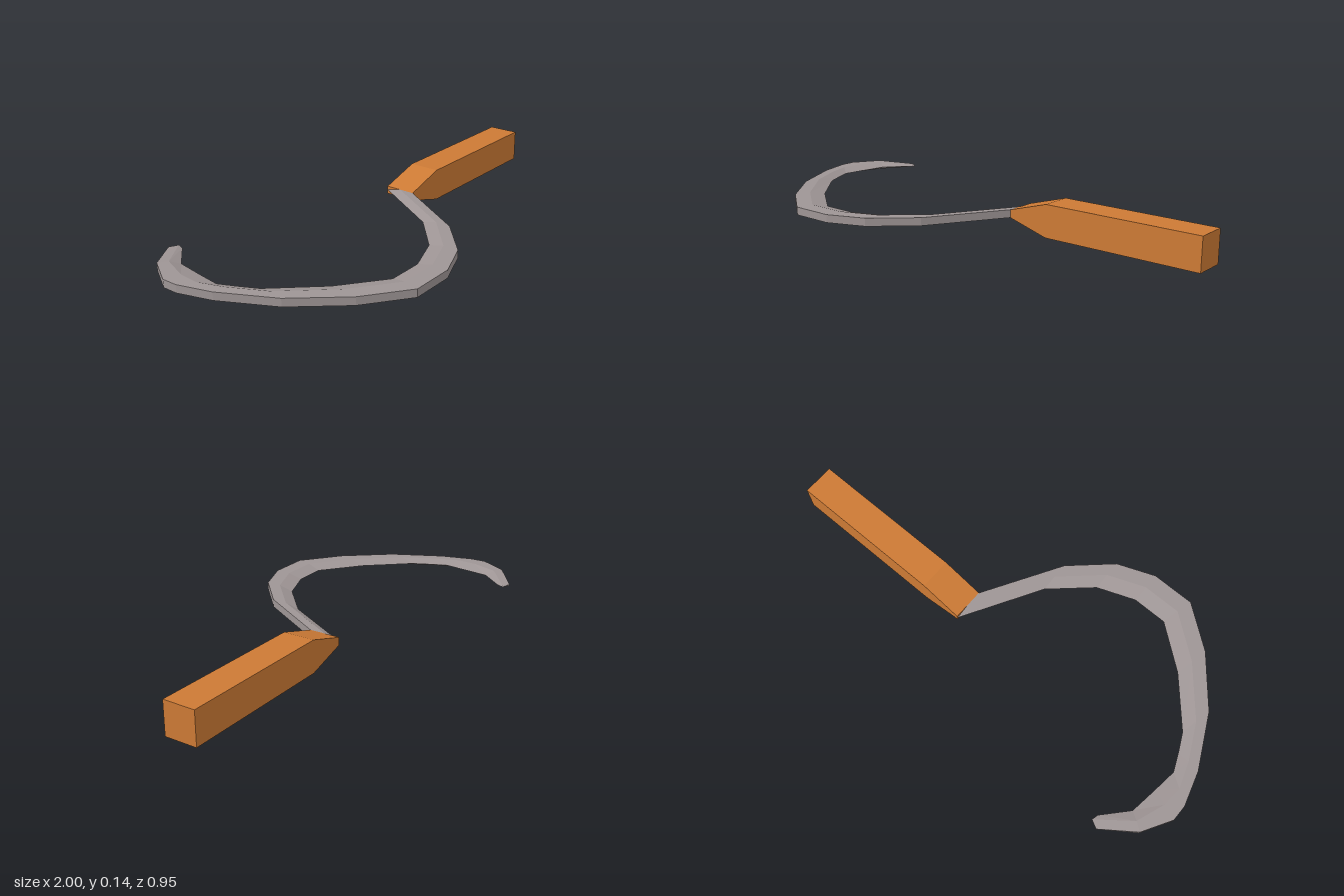
import * as THREE from 'three';

const MID_Y = 0.068;

// Blade stations from handle to tip: outer x, z, then cutting edge x, z
const STATIONS = [
  [0.16, -0.053, 0.16, -0.187],
  [-0.03, 0.267, -0.03, 0.138],
  [-0.19, 0.414, -0.19, 0.283],
  [-0.345, 0.475, -0.345, 0.343],
  [-0.525, 0.475, -0.49, 0.343],
  [-0.695, 0.345, -0.663, 0.208],
  [-0.853, 0.155, -0.823, 0.027],
  [-0.96, -0.06, -0.86, -0.05],
  [-1.0, -0.2, -0.89, -0.12],
  [-1.0, -0.267, -0.877, -0.22],
  [-0.93, -0.385, -0.86, -0.336],
];

// Five-sided section: flat back, flat cheeks, then bevels to a sharp inner edge
function section(ox, oz, mx, mz, ix, iz, h) {
  return [
    [ox, MID_Y + h, oz],
    [mx, MID_Y + h, mz],
    [ix, MID_Y, iz],
    [mx, MID_Y - h, mz],
    [ox, MID_Y - h, oz],
  ];
}

function bladeGeometry() {
  const rings = STATIONS.map(([ox, oz, ix, iz]) =>
    section(ox, oz, (ox + ix) / 2, (oz + iz) / 2, ix, iz, 0.0165));
  // Thin blunt tip
  rings.push(section(-0.798, -0.48, -0.763, -0.462, -0.77, -0.435, 0.003));

  const pos = [];
  const tri = (a, b, c) => pos.push(...a, ...b, ...c);
  for (let i = 0; i < rings.length - 1; i++) {
    const p = rings[i], q = rings[i + 1];
    for (let k = 0; k < 5; k++) {
      const n = (k + 1) % 5;
      tri(p[k], p[n], q[n]);
      tri(p[k], q[n], q[k]);
    }
  }
  // End caps
  const first = rings[0], last = rings[rings.length - 1];
  for (let k = 1; k < 4; k++) {
    tri(first[0], first[k + 1], first[k]);
    tri(last[0], last[k], last[k + 1]);
  }
  const geo = new THREE.BufferGeometry();
  geo.setAttribute('position', new THREE.Float32BufferAttribute(pos, 3));
  geo.computeVertexNormals();
  return geo;
}

// Square bar whose top and bottom taper down to the blade
function handleGeometry() {
  const profile = [[0.16, 0.0515], [0.335, 0], [1, 0], [1, 0.136], [0.335, 0.136], [0.16, 0.0845]];
  const shape = new THREE.Shape(profile.map(([x, y]) => new THREE.Vector2(x, y)));
  const geo = new THREE.ExtrudeGeometry(shape, { depth: 0.134, bevelEnabled: false });
  return geo.translate(0, 0, -0.187);
}

export function createModel() {
  const model = new THREE.Group();
  model.name = 'sickle';
  const add = (name, geometry, color) => {
    const mesh = new THREE.Mesh(geometry, new THREE.MeshStandardMaterial({ color, flatShading: true }));
    mesh.name = name;
    model.add(mesh);
  };
  add('blade', bladeGeometry(), 0x9e9595);
  add('handle', handleGeometry(), 0xcc7a35);
  return model;
}
